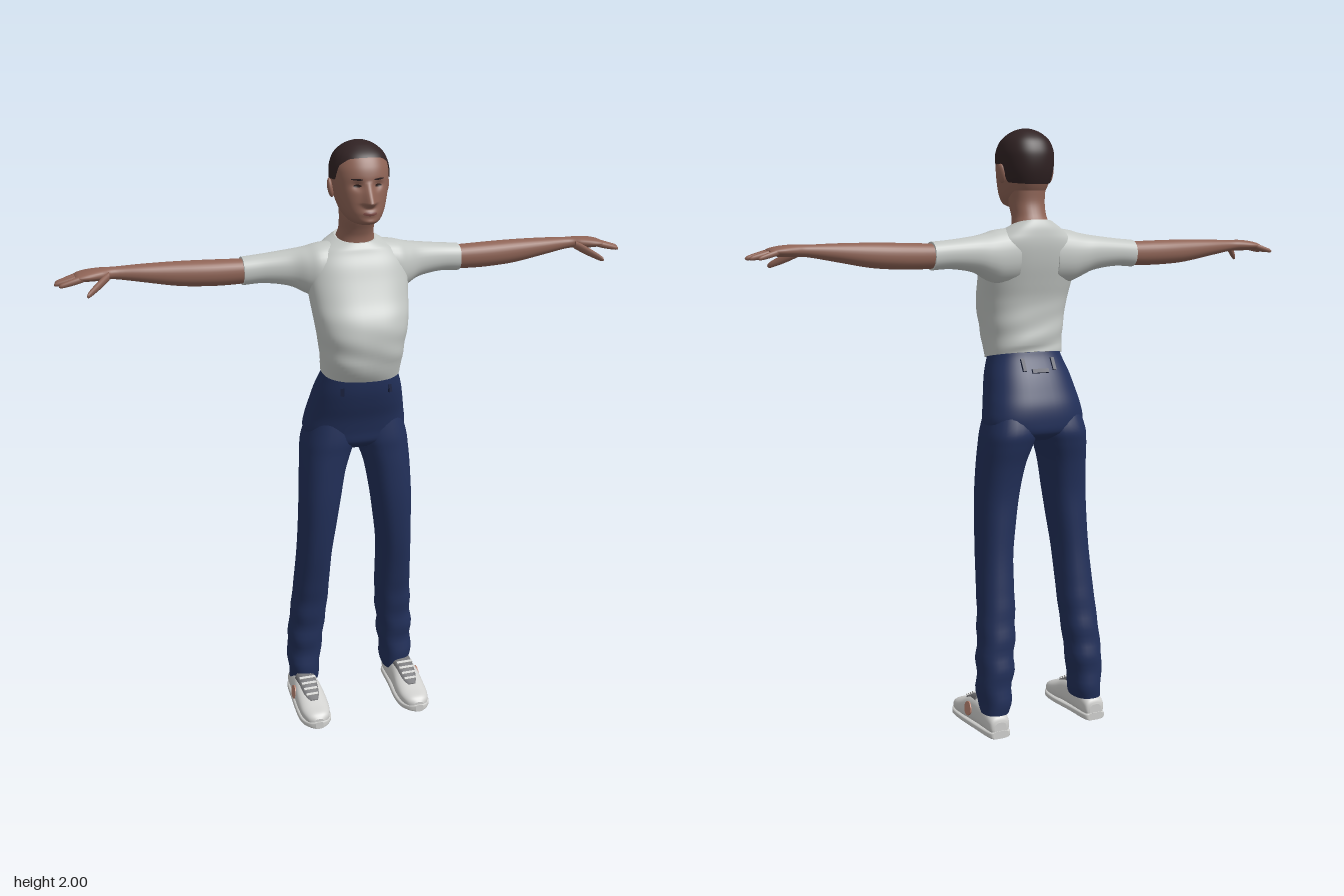
import * as THREE from 'three';

const mat = (name, color, side = THREE.FrontSide) => {
  const m = new THREE.MeshStandardMaterial({ color, side });
  m.name = name;
  return m;
};

// ---- cross-section lofting: key = [position, c1 low, c1 high, c2 low, c2 high]
function sample(keys, t) {
  const n = keys.length - 1, f = Math.min(Math.max(t, 0), 1) * n;
  const i = Math.min(Math.floor(f), n - 1), u = f - i;
  const k = j => keys[Math.min(Math.max(j, 0), n)];
  return keys[0].map((_, c) => {
    const [a, b, d, e] = [k(i - 1)[c], k(i)[c], k(i + 1)[c], k(i + 2)[c]];
    return b + 0.5 * u * (d - a + u * (2 * a - 5 * b + 4 * d - e + u * (3 * (b - d) + e - a)));
  });
}
const spow = (v, p) => Math.sign(v) * Math.abs(v) ** p;
function ring(row, a, axis, p) {
  const [t, l1, h1, l2, h2] = row;
  const c1 = (l1 + h1) / 2 + Math.max(0, (h1 - l1) / 2) * spow(Math.cos(a), p);
  const c2 = (l2 + h2) / 2 + Math.max(0, (h2 - l2) / 2) * spow(Math.sin(a), p);
  return axis === 'y' ? [c1, t, c2] : axis === 'x' ? [t, c1, c2] : [c1, c2, t];
}
// closed tube of points f(angle, v), with optional flat caps
function skin(f, rows, segs, flip, caps) {
  const pos = [], idx = [];
  const tri = (a, b, c) => idx.push(...(flip ? [a, c, b] : [a, b, c]));
  for (let j = 0; j <= rows; j++)
    for (let i = 0; i < segs; i++) pos.push(...f((i / segs) * Math.PI * 2, j / rows));
  for (let j = 0; j < rows; j++)
    for (let i = 0; i < segs; i++) {
      const a = j * segs + i, b = j * segs + (i + 1) % segs;
      tri(a, a + segs, b);
      tri(b, a + segs, b + segs);
    }
  if (caps) for (const v of [0, 1]) {
    const s = pos.length / 3, mid = [0, 0, 0];
    for (let i = 0; i < segs; i++) {
      const q = f((i / segs) * Math.PI * 2, v);
      pos.push(...q);
      q.forEach((w, k) => { mid[k] += w / segs; });
    }
    pos.push(...mid);
    for (let i = 0; i < segs; i++) {
      const a = s + i, b = s + (i + 1) % segs;
      v ? tri(a, s + segs, b) : tri(a, b, s + segs);
    }
  }
  const g = new THREE.BufferGeometry();
  g.setAttribute('position', new THREE.Float32BufferAttribute(pos, 3));
  g.setIndex(idx);
  g.computeVertexNormals();
  return g;
}
const loft = (keys, axis, { segs = 32, sub = 5, p = 0.9, warp = q => q } = {}) =>
  skin((a, v) => warp(ring(sample(keys, v), a, axis, p)), (keys.length - 1) * sub, segs, axis !== 'y', true);
const sym = rows => rows.map(([y, w, lo, hi]) => [y, -w, w, lo, hi]);

function mirrored(geo) {
  const g = geo.clone().scale(-1, 1, 1), ix = g.index;
  for (let i = 0; i < ix.count; i += 3) {
    const b = ix.getX(i + 1);
    ix.setX(i + 1, ix.getX(i + 2));
    ix.setX(i + 2, b);
  }
  g.computeVertexNormals();
  return g;
}

// ---- head surface: skull sections plus sculpted face relief
const HEAD = sym([[1.746, 0.004, 0.05, 0.08], [1.75, 0.03, 0.0, 0.115], [1.762, 0.048, -0.02, 0.136],
  [1.785, 0.065, -0.04, 0.136], [1.82, 0.078, -0.06, 0.131], [1.86, 0.087, -0.073, 0.125],
  [1.9, 0.09, -0.077, 0.121], [1.93, 0.087, -0.073, 0.112], [1.96, 0.074, -0.058, 0.093],
  [1.983, 0.048, -0.03, 0.06], [1.994, 0.02, -0.004, 0.03], [1.996, 0, 0.012, 0.012]]);
const HP = 0.9;
const gauss = (v, w) => Math.exp(-((v / w) ** 2));
function relief(x, y) {
  const nose = y > 1.82 ? Math.max(0, (1.885 - y) / 0.065) : Math.max(0, 1 - (1.82 - y) / 0.017);
  const ax = Math.abs(x);
  return 0.034 * nose * gauss(x, 0.011 + 0.007 * nose) - 0.01 * gauss(ax - 0.034, 0.017) * gauss(y - 1.872, 0.013)
    + 0.006 * gauss(x, 0.024) * gauss(y - 1.788, 0.01) + 0.004 * gauss(x, 0.022) * gauss(y - 1.76, 0.008);
}
function headPoint(a, t) {
  const q = ring(sample(HEAD, t), a, 'y', HP);
  if (Math.sin(a) > 0) q[2] += relief(q[0], q[1]) * Math.min(1, Math.sin(a) * 3);
  return q;
}
function headT(y) {
  let lo = 0, hi = 1;
  for (let i = 0; i < 30; i++) {
    const m = (lo + hi) / 2;
    sample(HEAD, m)[0] < y ? (lo = m) : (hi = m);
  }
  return lo;
}
function faceZ(x, y) {
  const r = sample(HEAD, headT(y)), c = Math.min(1, Math.abs(x) / r[2]) ** (1 / HP);
  return (r[3] + r[4]) / 2 + (r[4] - r[3]) / 2 * Math.sqrt(1 - c * c) ** HP + relief(x, y);
}
// thin painted disc that follows the face
function facePatch(x, y, w, h, lift, tilt = 0) {
  const g = new THREE.RingGeometry(0, 1, 20, 4), p = g.attributes.position;
  for (let i = 0; i < p.count; i++) {
    const px = x + p.getX(i) * w, py = y + p.getY(i) * h + tilt * p.getX(i);
    p.setXYZ(i, px, py, faceZ(px, py) + lift);
  }
  g.computeVertexNormals();
  return g;
}
const HAIRLINE = [[-1, 1.822], [-0.4, 1.828], [-0.15, 1.875], [0, 1.885], [0.3, 1.885], [0.5, 1.928], [0.8, 1.948], [1, 1.952]];
function hairline(s) {
  const i = Math.max(1, HAIRLINE.findIndex(k => k[0] >= s - 1e-9));
  const [a, b] = [HAIRLINE[i - 1], HAIRLINE[i]];
  return a[1] + (b[1] - a[1]) * (s - a[0]) / (b[0] - a[0]);
}

export function createModel() {
  const root = new THREE.Group();
  const skinM = mat('skin', 0x8f6456), hairM = mat('dark brown hair', 0x302223, THREE.DoubleSide);
  const shirtM = mat('light grey cotton', 0xc3c7c4), denim = mat('navy denim', 0x22305a);
  const seam = mat('dark denim', 0x161f3d), shoeM = mat('white canvas', 0xd0d0ce);
  const lace = mat('grey lining', 0x77777a), patch = mat('coral patch', 0xb98472);
  const lipM = mat('lips', 0x7c4b45), eyeM = mat('eyes', 0x2a1c1a);
  const add = (name, geo, m) => {
    const o = new THREE.Mesh(geo, m);
    o.name = name;
    root.add(o);
  };
  const pair = (name, geo, m) => {
    add(name + 'Left', geo, m);
    add(name + 'Right', mirrored(geo), m);
  };
  const box = (w, h, d, x, y, z, rx = 0, ry = 0) =>
    new THREE.BoxGeometry(w, h, d).rotateX(rx).rotateY(ry).translate(x, y, z);

  // head, hair and face
  add('head', skin(headPoint, 110, 96, false, true), skinM);
  add('hair', skin((a, v) => {
    const t = headT(hairline(Math.sin(a)));
    const [x, y, z] = headPoint(a, t + (1 - t) * v);
    return [x * 1.035, 1.88 + (y - 1.88) * 1.033, 0.02 + (z - 0.02) * 1.035];
  }, 30, 96, false, false), hairM);
  pair('ear', new THREE.SphereGeometry(1, 16, 12).scale(0.01, 0.031, 0.018).rotateZ(-0.15)
    .rotateY(0.35).translate(0.09, 1.855, 0.01), skinM);
  pair('eye', facePatch(0.034, 1.871, 0.012, 0.0045, 0.0015), eyeM);
  pair('eyebrow', facePatch(0.036, 1.891, 0.018, 0.003, 0.0015, 0.001), hairM);
  add('mouth', facePatch(0, 1.788, 0.023, 0.0065, 0.0012), lipM);
  add('neck', loft(sym([[1.64, 0.07, -0.09, 0.04], [1.69, 0.062, -0.083, 0.038], [1.72, 0.056, -0.066, 0.047],
    [1.76, 0.058, -0.053, 0.065], [1.8, 0.06, -0.053, 0.06]]), 'y'), skinM);

  // shirt: hem hangs lower in front, collar dips in front
  add('shirtBody', loft(sym([[1.26, 0.13, -0.068, 0.13], [1.3, 0.133, -0.07, 0.155], [1.35, 0.139, -0.068, 0.163],
    [1.4, 0.148, -0.065, 0.165], [1.45, 0.156, -0.068, 0.152], [1.5, 0.162, -0.08, 0.125],
    [1.56, 0.167, -0.095, 0.098], [1.61, 0.163, -0.103, 0.078], [1.645, 0.145, -0.104, 0.06],
    [1.672, 0.105, -0.1, 0.05], [1.692, 0.066, -0.09, 0.042]]), 'y', {
    segs: 56, p: 0.82, warp: ([x, y, z]) => {
      const low = Math.max(0, (1.3 - y) / 0.04), high = Math.max(0, (y - 1.66) / 0.032);
      const fold = 0.0025 * Math.sin(y * 75 + x * 22) * Math.max(0, Math.min(1, (1.45 - y) * 8));
      return [x, y - (z - 0.03) * 0.17 * low - (z + 0.02) * 0.22 * high, z + fold];
    }
  }), shirtM);
  pair('sleeve', loft([[0.07, 1.5, 1.682, -0.098, 0.05], [0.13, 1.5, 1.675, -0.1, 0.055],
    [0.17, 1.517, 1.664, -0.101, 0.04], [0.22, 1.54, 1.655, -0.101, 0.014],
    [0.3, 1.552, 1.645, -0.099, -0.003], [0.368, 1.549, 1.639, -0.098, -0.008]], 'x'), shirtM);

  // arms, hands, fingers
  pair('arm', loft([[0.33, 1.556, 1.632, -0.09, -0.016], [0.42, 1.553, 1.635, -0.093, -0.012],
    [0.5, 1.555, 1.637, -0.095, -0.012], [0.58, 1.562, 1.638, -0.093, -0.016],
    [0.68, 1.58, 1.637, -0.088, -0.022], [0.77, 1.596, 1.634, -0.08, -0.03],
    [0.81, 1.597, 1.635, -0.085, -0.013], [0.85, 1.598, 1.632, -0.091, 0],
    [0.88, 1.601, 1.626, -0.089, 0.001], [0.892, 1.606, 1.62, -0.082, -0.006]], 'x'), skinM);
  const finger = (x0, y0, z0, x1, y1, z1, r) => loft([[0, 1], [0.35, 1.02], [0.7, 0.85], [0.93, 0.6], [1, 0.05]].map(([t, s]) => {
    const y = y0 + (y1 - y0) * t, z = z0 + (z1 - z0) * t;
    return [x0 + (x1 - x0) * t, y - r * s, y + r * s, z - r * s, z + r * s];
  }), 'x', { segs: 12, sub: 3 });
  [[-0.08, -0.09, 0.932], [-0.057, -0.062, 0.952], [-0.034, -0.034, 0.957], [-0.011, -0.004, 0.945]].forEach(([z0, z1, x1], i) =>
    pair('finger' + (i + 1), finger(0.865, 1.614, z0, x1, 1.594, z1, i ? 0.0105 : 0.009), skinM));
  pair('thumb', finger(0.79, 1.612, -0.03, 0.868, 1.568, 0.042, 0.014), skinM);

  // trousers
  add('trouserHips', loft(sym([[0.985, 0.1, -0.1, 0.03], [1.01, 0.155, -0.138, 0.06], [1.05, 0.175, -0.145, 0.068],
    [1.1, 0.168, -0.14, 0.08], [1.15, 0.157, -0.122, 0.098], [1.2, 0.145, -0.1, 0.112],
    [1.25, 0.128, -0.072, 0.118], [1.275, 0.12, -0.062, 0.116]]), 'y', { segs: 48, p: 0.82 }), denim);
  pair('trouserLeg', loft([[0.075, 0.128, 0.222, -0.156, -0.03], [0.1, 0.124, 0.225, -0.156, -0.024],
    [0.2, 0.112, 0.23, -0.156, -0.026], [0.3, 0.102, 0.224, -0.147, -0.018], [0.4, 0.093, 0.216, -0.134, -0.004],
    [0.5, 0.09, 0.209, -0.121, 0.018], [0.6, 0.086, 0.203, -0.11, 0.04], [0.7, 0.073, 0.199, -0.106, 0.055],
    [0.8, 0.058, 0.196, -0.106, 0.064], [0.9, 0.04, 0.191, -0.12, 0.066], [0.97, 0.017, 0.186, -0.137, 0.066],
    [1.02, 0, 0.179, -0.143, 0.067], [1.1, 0, 0.155, -0.12, 0.06]], 'y', {
    p: 0.85, warp: ([x, y, z]) => {
      const fold = 0.003 * Math.sin(y * 58 + z * 14) * Math.max(0, Math.min(1, (0.5 - y) * 4));
      return [x + fold, y, z + fold];
    }
  }), denim);
  pair('frontBeltLoop', box(0.012, 0.05, 0.008, 0.08, 1.218, 0.099, -0.2, 0.45), seam);
  pair('backBeltLoop', box(0.012, 0.045, 0.008, 0.055, 1.235, -0.079, 0.5, 0), seam);
  add('backTab', box(0.06, 0.014, 0.008, 0, 1.215, -0.094, 0.5), seam);

  // shoes
  pair('shoe', loft([[-0.16, 0.16, 0.205, 0.015, 0.055], [-0.15, 0.146, 0.218, 0.01, 0.075],
    [-0.1, 0.14, 0.224, 0.008, 0.1], [-0.05, 0.137, 0.229, 0.008, 0.112], [0, 0.134, 0.234, 0.008, 0.105],
    [0.05, 0.13, 0.236, 0.008, 0.082], [0.1, 0.133, 0.234, 0.008, 0.062], [0.135, 0.146, 0.222, 0.008, 0.05],
    [0.15, 0.168, 0.202, 0.012, 0.035]], 'z', { p: 0.8 }), shoeM);
  pair('sole', loft([[-0.162, 0.163, 0.202, 0, 0.026], [-0.15, 0.143, 0.221, 0, 0.026], [-0.05, 0.136, 0.231, 0, 0.024],
    [0.05, 0.126, 0.239, 0, 0.024], [0.11, 0.13, 0.237, 0, 0.024], [0.142, 0.149, 0.22, 0, 0.025],
    [0.156, 0.172, 0.2, 0, 0.026]], 'z', { p: 0.5 }), shoeM);
  pair('tongue', loft([[-0.04, 0.148, 0.22, 0.06, 0.124], [0, 0.15, 0.218, 0.06, 0.112],
    [0.05, 0.155, 0.212, 0.05, 0.087], [0.08, 0.166, 0.2, 0.04, 0.073]], 'z', { p: 0.7 }), lace);
  for (let i = 0; i < 4; i++)
    pair('lace' + (i + 1), box(0.058 - i * 0.005, 0.006, 0.009, 0.184, 0.115 - i * 0.0105, -0.004 + i * 0.021, 0.45), shoeM);
  pair('sidePatch', new THREE.CylinderGeometry(0.024, 0.024, 0.006, 20).rotateZ(Math.PI / 2 + 0.12)
    .translate(0.2325, 0.063, -0.01), patch);

  return root;
}
